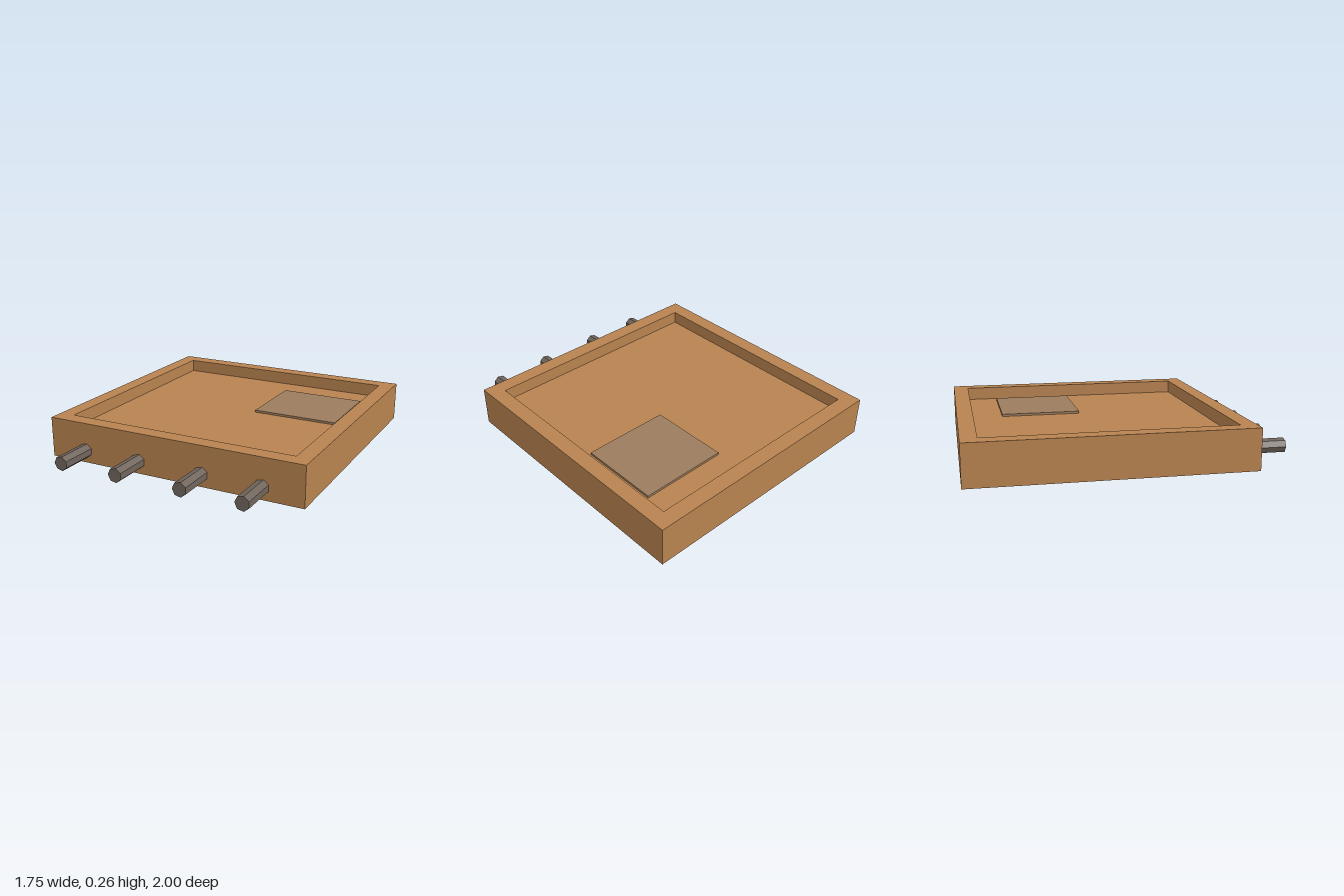
import * as THREE from 'three';

export function createModel() {
  const group = new THREE.Group();
  const mat = (name, color, flatShading = false) => {
    const m = new THREE.MeshStandardMaterial({ color, flatShading });
    m.name = name;
    return m;
  };
  const wood = mat('orange wood', 0xb88350);
  const plateMat = mat('dull tan', 0x9c7d5e);
  const pegMat = mat('grey brown', 0x70655c, true);

  const add = (name, geometry, material, x, y, z) => {
    const mesh = new THREE.Mesh(geometry, material);
    mesh.name = name;
    mesh.position.set(x, y, z);
    group.add(mesh);
    return mesh;
  };

  const height = 0.263, floorY = 0.178, midZ = -0.125;
  const outer = 0.875, inner = 0.774;

  // Square outline, centred on the tray
  const square = (PathType, r) => {
    const p = new PathType();
    p.moveTo(-r, -r);
    p.lineTo(r, -r);
    p.lineTo(r, r);
    p.lineTo(-r, r);
    p.closePath();
    return p;
  };

  // Raised rim around the tray, full height with an open middle
  const rimShape = square(THREE.Shape, outer);
  rimShape.holes.push(square(THREE.Path, inner));
  const rim = new THREE.ExtrudeGeometry(rimShape, { depth: height, bevelEnabled: false });
  rim.rotateX(-Math.PI / 2);
  add('trayRim', rim, wood, 0, 0, midZ);

  // Solid floor filling the rim up to the recess
  add('trayFloor', new THREE.BoxGeometry(inner * 2, floorY, inner * 2), wood, 0, floorY / 2, midZ);

  // Thin plate lying in the back corner of the recess
  const plateHeight = 0.015;
  add('plate', new THREE.BoxGeometry(0.575, plateHeight, 0.525), plateMat,
    0.418, floorY + plateHeight / 2, -0.432);

  // Seven-sided pegs sticking out of the front
  const pegLength = 0.27;
  const peg = new THREE.CylinderGeometry(0.047, 0.047, pegLength, 7, 1, false, -Math.PI / 2);
  peg.rotateX(Math.PI / 2);
  [-0.616, -0.222, 0.216, 0.61].forEach((x, i) =>
    add(`peg${i + 1}`, peg, pegMat, x, 0.081, 1 - pegLength / 2));

  return group;
}
